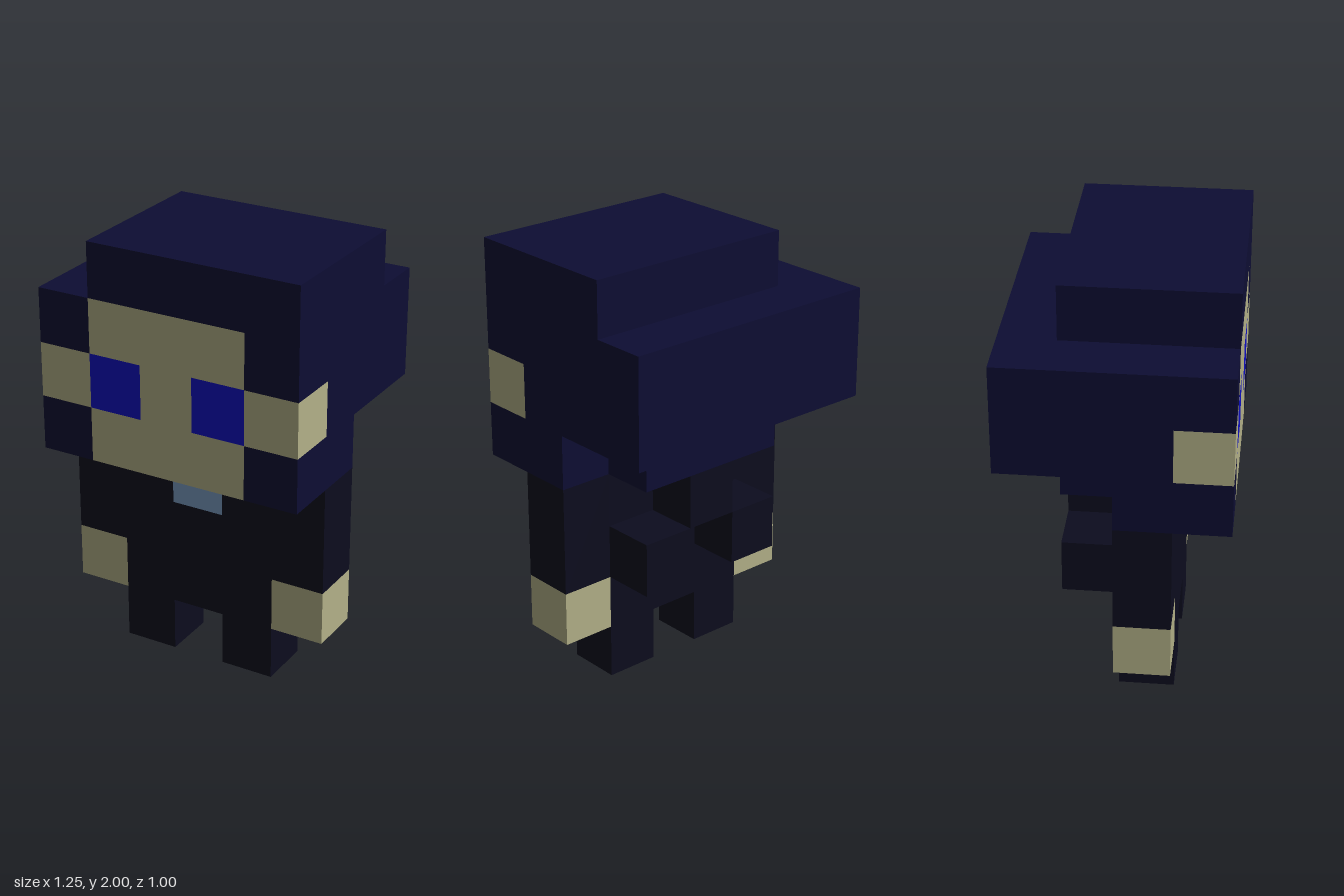
import * as THREE from 'three';

const CELL = 0.25;

function material(name, color) {
  const m = new THREE.MeshStandardMaterial({ color });
  m.name = name;
  return m;
}

export function createModel() {
  const hair = material('navy hair', 0x0d0d33);
  const cloth = material('black cloth', 0x0c0c1e);
  const skin = material('skin', 0xb3b188);
  const eyeBlue = material('eye blue', 0x0c0cc2);
  const tieBlue = material('tie blue', 0x7a9cc2);

  const model = new THREE.Group();
  model.name = 'blockFigure';
  const head = new THREE.Group();
  head.name = 'head';
  const body = new THREE.Group();
  body.name = 'body';
  model.add(head, body);

  // Block spanning whole cells: x counted from the right side (5), y from the ground (8), z from the back (4)
  function block(parent, name, mat, [x0, x1], [y0, y1], [z0, z1]) {
    const geometry = new THREE.BoxGeometry((x1 - x0) * CELL, (y1 - y0) * CELL, (z1 - z0) * CELL);
    const mesh = new THREE.Mesh(geometry, mat);
    mesh.position.set(((x0 + x1) / 2 - 2.5) * CELL, ((y0 + y1) / 2) * CELL, ((z0 + z1) / 2 - 2) * CELL);
    mesh.name = name;
    parent.add(mesh);
  }

  // Same block on both sides of the centre
  function pair(parent, name, mat, [x0, x1], y, z) {
    block(parent, name + 'Right', mat, [x0, x1], y, z);
    block(parent, name + 'Left', mat, [5 - x1, 5 - x0], y, z);
  }

  // Hair: the crown is swept to the left
  block(head, 'crown', hair, [1, 5], [7, 8], [1, 4]);
  block(head, 'backHair', hair, [0, 5], [5, 7], [0, 2]);
  block(head, 'middleHair', hair, [0, 5], [4, 7], [2, 3]);
  block(head, 'nape', hair, [1, 4], [4, 5], [1, 2]);
  pair(head, 'upperLock', hair, [0, 1], [6, 7], [3, 4]);
  pair(head, 'lowerLock', hair, [0, 1], [4, 5], [3, 4]);

  // Face
  pair(head, 'ear', skin, [0, 1], [5, 6], [3, 4]);
  block(head, 'forehead', skin, [1, 4], [6, 7], [3, 4]);
  block(head, 'noseBridge', skin, [2, 3], [5, 6], [3, 4]);
  block(head, 'jaw', skin, [1, 4], [4, 5], [3, 4]);
  pair(head, 'eye', eyeBlue, [1, 2], [5, 6], [3, 4]);

  // Torso and tie
  block(body, 'torso', cloth, [1, 4], [1, 3], [2, 3]);
  pair(body, 'chest', cloth, [1, 2], [3, 4], [2, 3]);
  block(body, 'tie', tieBlue, [2, 3], [3, 4], [2, 3]);

  // Limbs
  pair(body, 'sleeve', cloth, [0, 1], [2, 4], [2, 3]);
  pair(body, 'hand', skin, [0, 1], [1, 2], [2, 3]);
  pair(body, 'leg', cloth, [1, 2], [0, 1], [2, 3]);

  // Ribbon on the back: knot and two tails
  block(body, 'backKnot', cloth, [2, 3], [3, 4], [1, 2]);
  pair(body, 'backTail', cloth, [1, 2], [2, 3], [1, 2]);

  return model;
}
